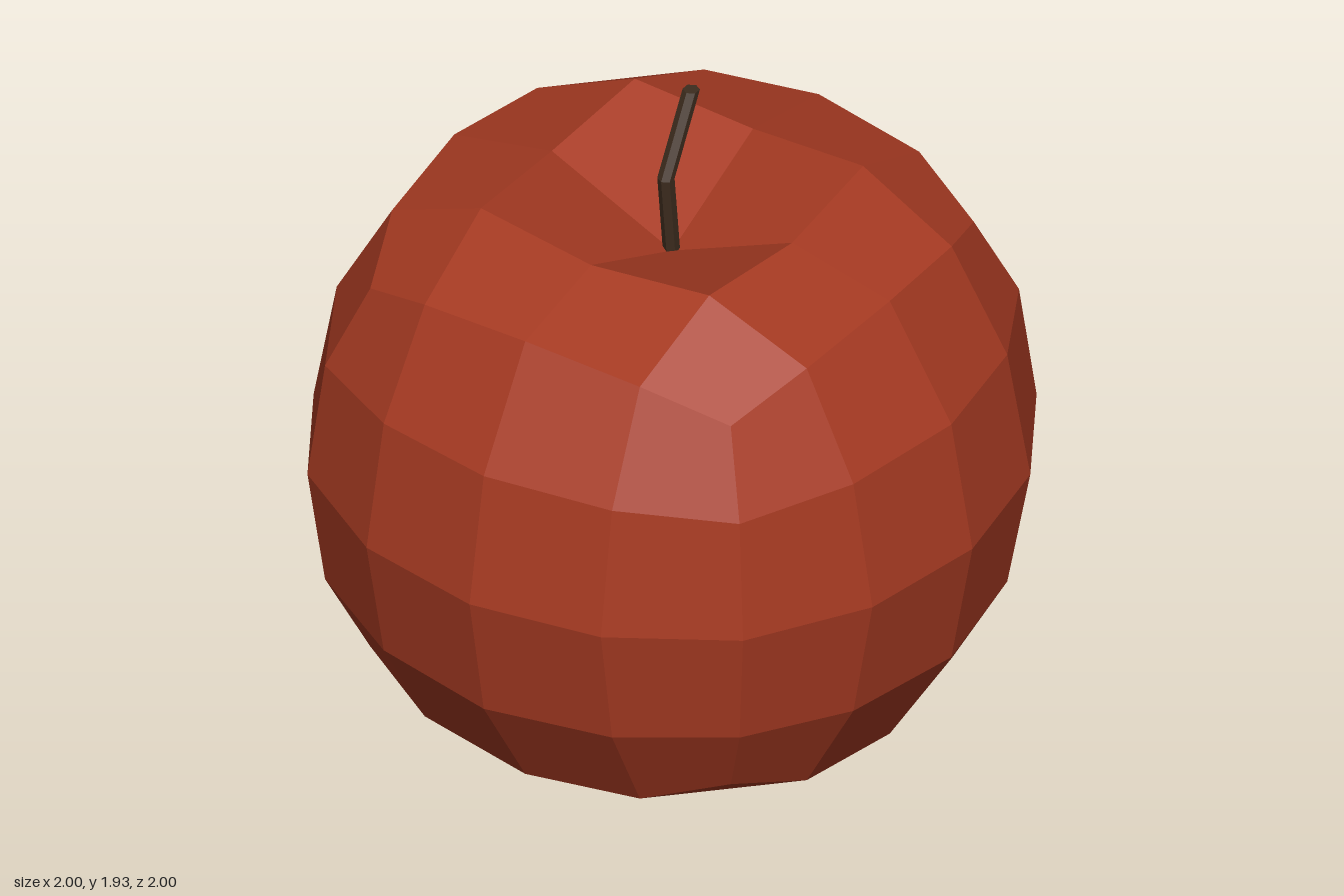
import * as THREE from 'three';

const MID = 0.835; // height of the widest ring

// Distances from the body's middle for each kind of grid point on a 4 x 4 cube,
// keyed by its sorted steps; each entry gives the length for step 0, 1 and 2.
const REACH = {
  '200': [0, 0, 1],
  '210': [0, 0.39, 0.93],
  '220': [0, 0, 0.725],
  '211': [0, 0.38, 0.86],
  '221': [0, 0.358, 0.69],
  '222': [0, 0, 0.6],
};

// Rounded cube point, with a hollow pressed into the top and bottom
function bodyPoint(step) {
  const size = step.map(Math.abs);
  const reach = REACH[[...size].sort((a, b) => b - a).join('')];
  const p = step.map((s, i) => Math.sign(s) * reach[size[i]]);
  if (size[1] === 2 && size[0] < 2 && size[2] < 2) {
    const height = [0.615, 0.795, 0.828][size[0] + size[2]];
    p[1] = Math.sign(step[1]) * height;
    if (size[0] + size[2] === 1) { p[0] = Math.sign(step[0]) * 0.4; p[2] = Math.sign(step[2]) * 0.4; }
  }
  return new THREE.Vector3(p[0], p[1] + MID, p[2]);
}

function bodyGeometry() {
  const positions = [], normals = [];
  for (let axis = 0; axis < 3; axis++) {
    for (const side of [-1, 1]) {
      const at = (u, v) => {
        const step = [0, 0, 0];
        step[axis] = 2 * side;
        step[(axis + 1) % 3] = u;
        step[(axis + 2) % 3] = v;
        return bodyPoint(step);
      };
      for (let u = -2; u < 2; u++) {
        for (let v = -2; v < 2; v++) {
          let q = [at(u, v), at(u + 1, v), at(u + 1, v + 1), at(u, v + 1)];
          if (side < 0) q = [q[0], q[3], q[2], q[1]];
          // one flat normal per four-sided facet
          const n = q[2].clone().sub(q[0]).cross(q[3].clone().sub(q[1])).normalize();
          // split so the hollow's rim facets fold between the rim midpoints
          const order = (u < 0) === (v < 0) ? [0, 1, 3, 1, 2, 3] : [0, 1, 2, 0, 2, 3];
          for (const i of order) {
            positions.push(...q[i].toArray());
            normals.push(...n.toArray());
          }
        }
      }
    }
  }
  const g = new THREE.BufferGeometry();
  g.setAttribute('position', new THREE.Float32BufferAttribute(positions, 3));
  g.setAttribute('normal', new THREE.Float32BufferAttribute(normals, 3));
  return g;
}

// Six-sided stalk whose three rings are moved onto a bent path
function stemGeometry() {
  const path = [[1.43, 0], [1.71, 0.03], [1.937, -0.095]]; // y, z from bottom to top
  const g = new THREE.CylinderGeometry(0.024, 0.024, 2, 6, 2);
  const pos = g.attributes.position;
  for (let i = 0; i < pos.count; i++) {
    const [y, z] = path[Math.round(pos.getY(i)) + 1];
    pos.setY(i, y);
    pos.setZ(i, pos.getZ(i) + z);
  }
  return g;
}

export function createModel() {
  const model = new THREE.Group();
  model.name = 'apple';

  const body = new THREE.Mesh(bodyGeometry(), new THREE.MeshStandardMaterial({ color: 0xa63a22 }));
  body.name = 'fruitBody';

  const stem = new THREE.Mesh(stemGeometry(), new THREE.MeshStandardMaterial({ color: 0x3d2c1e, flatShading: true }));
  stem.name = 'stem';

  model.add(body, stem);
  return model;
}
